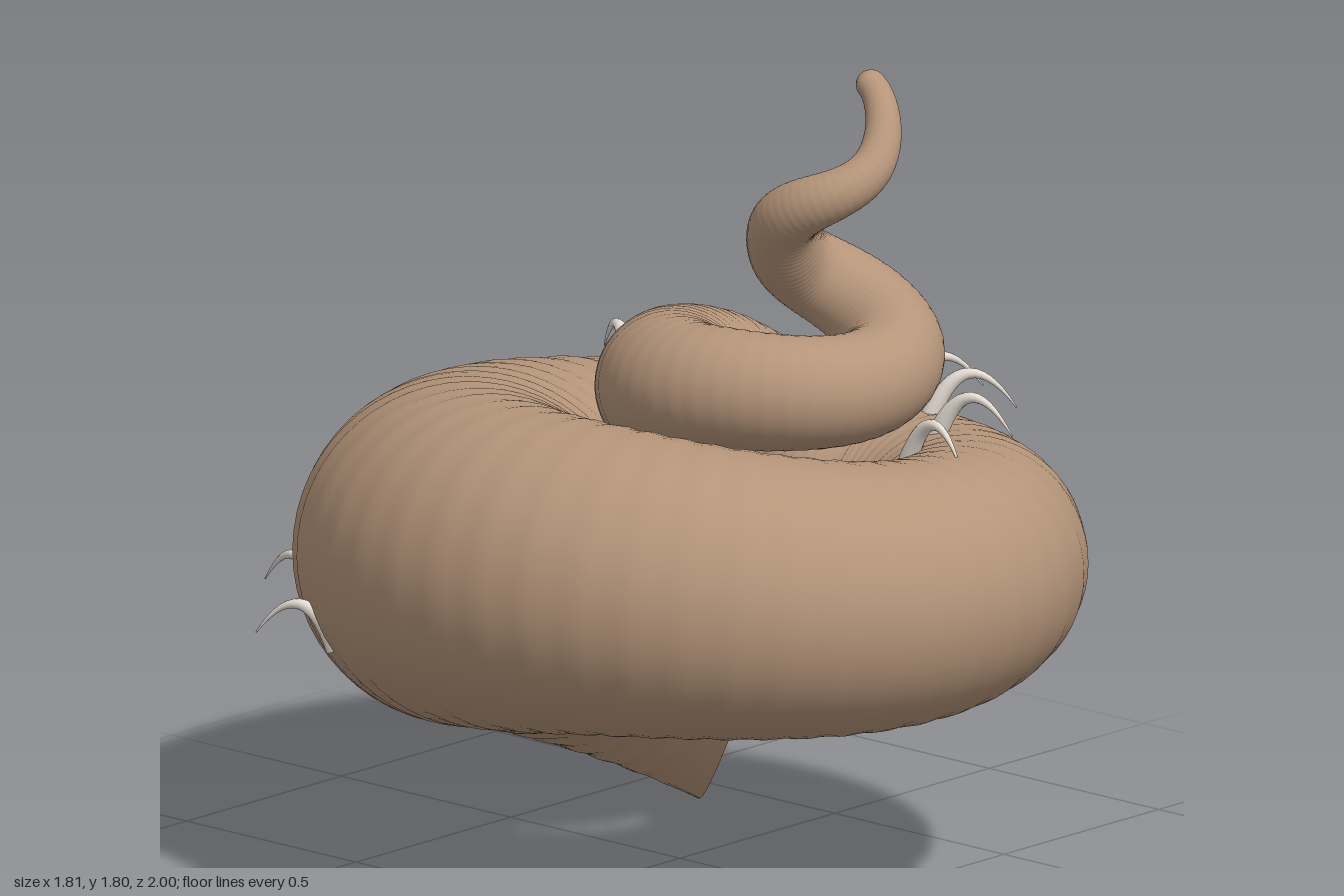
import * as THREE from 'three';

// Coil keys, one per quarter turn from the apex down: [distance from axis, height, tube radius]
const KEYS = [
  [0.095, 1.79, 0.033], [0.105, 1.63, 0.048], [0.09, 1.54, 0.066], [0.08, 1.42, 0.085],
  [0.142, 1.305, 0.1], [0.24, 1.19, 0.117], [0.262, 1.175, 0.14], [0.225, 1.06, 0.2],
  [0.304, 0.805, 0.24], [0.515, 0.775, 0.282], [0.585, 0.815, 0.345], [0.625, 0.65, 0.41],
  [0.7, 0.33, 0.512], [0.78, -0.03, 0.62],
];
const END = 11.59; // mouth position, in quarter turns
const WALL = 0.9; // inner radius / outer radius
const UP = new THREE.Vector3(0, 1, 0);

// Smooth interpolation of one key column
function key(t, col) {
  const i = Math.max(0, Math.min(KEYS.length - 2, Math.floor(t)));
  const f = t - i;
  const v = (j) => KEYS[Math.max(0, Math.min(KEYS.length - 1, j))][col];
  const m0 = (v(i + 1) - v(i - 1)) / 2, m1 = (v(i + 2) - v(i)) / 2;
  const a = v(i), b = v(i + 1);
  return a + m0 * f + (3 * (b - a) - 2 * m0 - m1) * f * f + (2 * (a - b) + m0 + m1) * f * f * f;
}

// Centre line: a spiral around a leaning axis
function centre(t) {
  const a = t * Math.PI / 2, rho = key(t, 0);
  return new THREE.Vector3(
    0.15 - 0.013 * t + rho * Math.cos(a), key(t, 1), 0.34 - 0.015 * t + rho * Math.sin(a));
}

// Outward (N), upward (B) and forward (T) axes of a path at t
function frame(path, t, h = 0.01) {
  const T = path(t + h).sub(path(t - h)).normalize();
  const B = UP.clone().addScaledVector(T, -T.y).normalize();
  return { C: path(t), T, B, N: B.clone().cross(T) };
}

const onRing = ({ C, N, B }, r, phi) =>
  C.clone().addScaledVector(N, r * Math.cos(phi)).addScaledVector(B, r * Math.sin(phi));

// Skin through closed rings; ringAt(u) returns [frame, radius]
function skin(ringAt, rings, sides) {
  const pos = [], index = [];
  for (let i = 0; i <= rings; i++) {
    const [f, r] = ringAt(i / rings);
    for (let j = 0; j < sides; j++) {
      pos.push(...onRing(f, r, j / sides * Math.PI * 2).toArray());
      if (i === rings) continue;
      const a = i * sides + j, b = i * sides + (j + 1) % sides;
      index.push(a, b, a + sides, b, b + sides, a + sides);
    }
  }
  const g = new THREE.BufferGeometry();
  g.setAttribute('position', new THREE.Float32BufferAttribute(pos, 3));
  g.setIndex(index);
  g.computeVertexNormals();
  return g;
}

export function createModel() {
  const group = new THREE.Group();
  const mat = (color) => new THREE.MeshStandardMaterial({ color });
  const shellMat = mat(0xb5957a), innerMat = mat(0xeee1d9);
  const lipMat = mat(0xa8a099), spineMat = mat(0xe6ddd4);
  const add = (name, geometry, material) => {
    const mesh = new THREE.Mesh(geometry, material);
    mesh.name = name;
    group.add(mesh);
    return mesh;
  };

  // Outer shell with faint growth ripples
  const outer = (t) => key(t, 2) * (1 + 0.006 * Math.sin(t * 75) * Math.min(1, (END - t) * 4));
  add('shell', skin((u) => [frame(centre, u * END), outer(u * END)], 480, 56), shellMat);

  // Pale lining, from the mouth inward
  add('lining', skin((u) => {
    const t = END * (1 - u);
    return [frame(centre, t), key(t, 2) * WALL];
  }, 260, 48), innerMat);

  // Flat rim joining shell and lining
  const mouth = frame(centre, END);
  add('lip', skin((u) => [mouth, key(END, 2) * (1 - (1 - WALL) * u)], 1, 56), lipMat);

  // Rounded apex
  add('apex', new THREE.SphereGeometry(KEYS[0][2], 20, 14), shellMat).position.copy(centre(0));

  // Curved spines: a row on the shoulder and a row low on the back [turn, angle on tube]
  const spots = [7, 7.3, 7.65, 7.97, 8.25, 8.53, 8.8].map((t) => [t, 5 + 62 * (t - 7)]);
  spots.push([11, -18], [10.75, -24], [10.45, -32]);
  for (const [t, deg] of spots) {
    const base = onRing(frame(centre, t), key(t, 2) * 0.97, deg * Math.PI / 180);
    const a = t * Math.PI / 2;
    const out = new THREE.Vector3(Math.cos(a), 0, Math.sin(a));
    const along = new THREE.Vector3(-Math.sin(a), 0, Math.cos(a));
    const at = (o, s, y) => base.clone().addScaledVector(out, o).addScaledVector(along, s).setY(base.y + y);
    const curve = new THREE.QuadraticBezierCurve3(base, at(0.07, 0.03, 0.18), at(0.165, 0.09, 0.02));
    const path = (u) => curve.getPoint(Math.max(0, Math.min(1, u)));
    add('spine', skin((u) => [frame(path, u), 0.021 * (1 - u) + 0.0015], 14, 10), spineMat);
  }
  return group;
}
